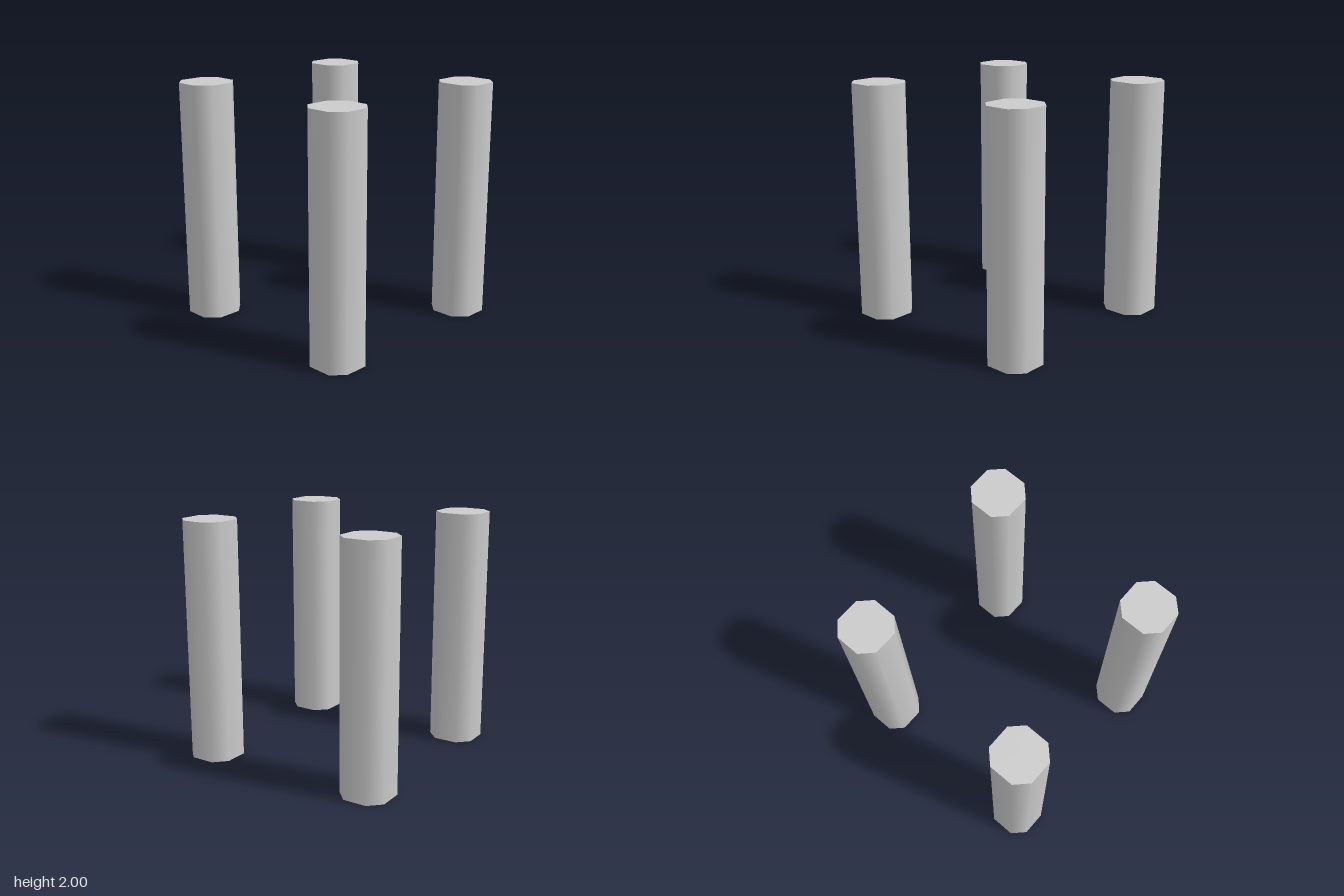
import * as THREE from 'three';

// Eight-sided pillar: wide flats (0.2) on the axes, cut corners (0.1) between them
function pillarGeometry(height, half, flat) {
  const geometry = new THREE.CylinderGeometry(half, half, height, 8, 1, false, Math.PI / 8);
  const p = geometry.attributes.position;
  const snap = (v) => {
    const a = Math.abs(v);
    if (a < 0.01) return 0;
    return Math.sign(v) * (a > half * 0.65 ? half : flat);
  };
  for (let i = 0; i < p.count; i++) p.setXYZ(i, snap(p.getX(i)), p.getY(i), snap(p.getZ(i)));
  geometry.translate(0, height / 2, 0);
  return geometry;
}

export function createModel() {
  const model = new THREE.Group();
  model.name = 'pillars';
  const material = new THREE.MeshStandardMaterial({ color: 0xcccccc });
  const geometry = pillarGeometry(2, 0.2, 0.1);

  // One pillar at each corner of a square
  for (const [zName, z] of [['front', 0.75], ['back', -0.75]]) {
    for (const [xName, x] of [['Left', 0.75], ['Right', -0.75]]) {
      const pillar = new THREE.Mesh(geometry, material);
      pillar.name = `${zName}${xName}Pillar`;
      pillar.position.set(x, 0, z);
      model.add(pillar);
    }
  }
  return model;
}
